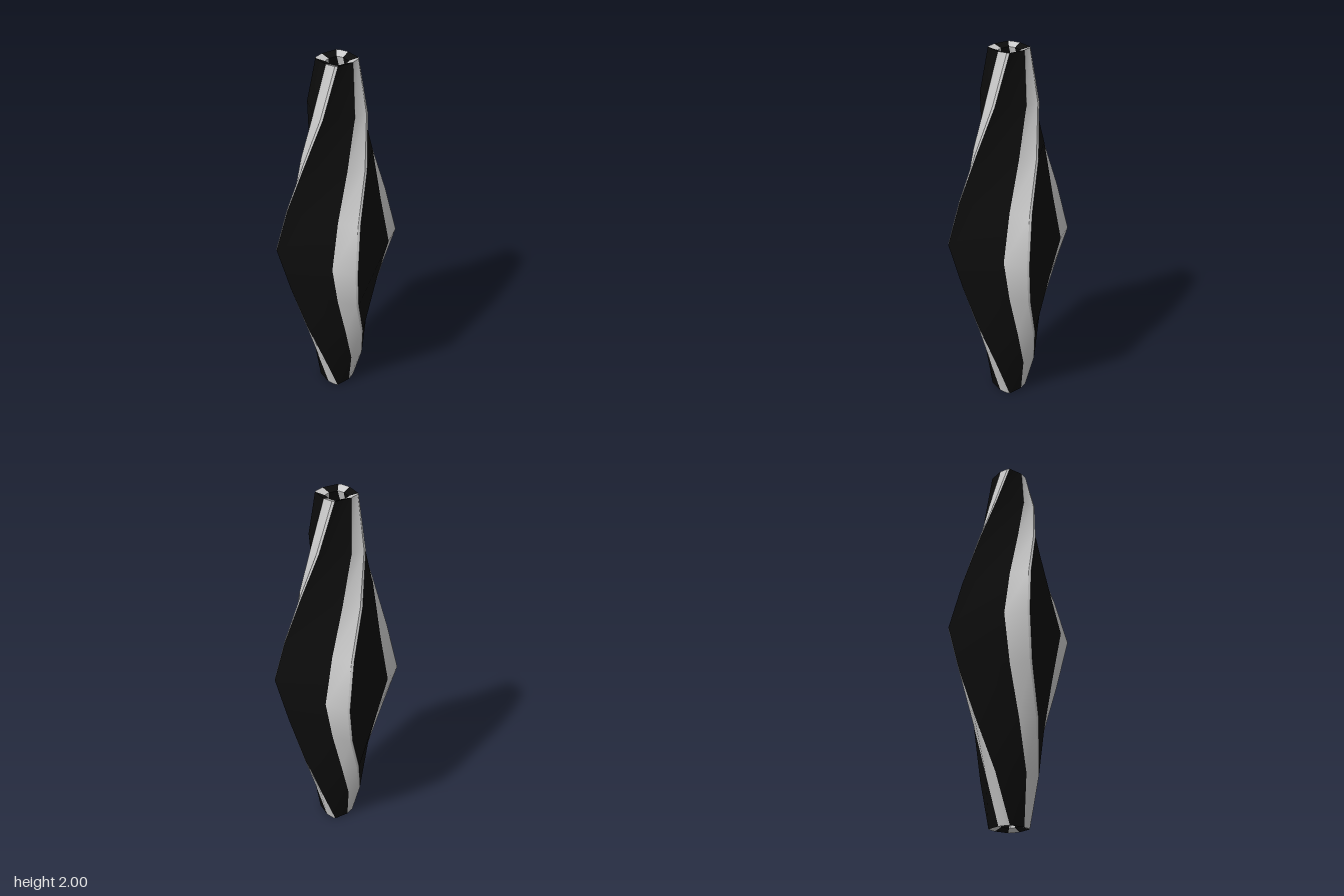
import * as THREE from 'three';

const grey = new THREE.MeshStandardMaterial({ color: 0xcccccc });
const black = new THREE.MeshStandardMaterial({ color: 0x0c0c0c });

// Cross-section corners [x, z] of one quarter, from the middle (y = 1) to the tip (y = 2)
const heights = [0, 0.25, 0.51, 0.76, 1];
const ridge = [[-0.263, -0.2], [-0.234, -0.141], [-0.208, -0.052], [-0.157, 0.025], [-0.083, 0.057]];
const valley = [[-0.136, -0.233], [-0.13, -0.177], [-0.139, -0.114], [-0.13, -0.043], [-0.086, 0]];

// Full-length column of points, mirrored about the middle, bottom to top
function column(half) {
  const up = half.map(([x, z], i) => new THREE.Vector3(x, 1 + heights[i], z));
  const down = up.slice(1).reverse().map((p) => new THREE.Vector3(p.x, 2 - p.y, p.z));
  return [...down, ...up];
}

const quarterTurn = (col) => col.map((p) => new THREE.Vector3(-p.z, p.y, p.x));

// Move each point of a column a short way towards another column
const towards = (col, other, d) =>
  col.map((p, i) => p.clone().add(other[i].clone().sub(p).setLength(d)));

// Inner face of the shell, slightly recessed at the two open ends
function inset(col) {
  return col.map((p) => {
    const r = Math.hypot(p.x, p.z);
    const s = (r - 0.46 * Math.min(r, 0.1)) / r;
    return new THREE.Vector3(p.x * s, THREE.MathUtils.clamp(p.y, 0.015, 1.985), p.z * s);
  });
}

// Smooth ribbon between two columns
function ribbon(a, b) {
  const positions = [];
  const index = [];
  a.forEach((p, i) => {
    positions.push(...p.toArray(), ...b[i].toArray());
    if (i < a.length - 1) {
      const k = i * 2;
      index.push(k, k + 2, k + 1, k + 1, k + 2, k + 3);
    }
  });
  const geometry = new THREE.BufferGeometry();
  geometry.setAttribute('position', new THREE.Float32BufferAttribute(positions, 3));
  geometry.setIndex(index);
  geometry.computeVertexNormals();
  return geometry;
}

// Thick strip: outer face, inner face and the rims at both ends
function strip(name, a, b, material) {
  const group = new THREE.Group();
  group.name = name;
  const ia = inset(a);
  const ib = inset(b);
  const n = a.length - 1;
  const add = (part, colA, colB) => {
    const mesh = new THREE.Mesh(ribbon(colA, colB), material);
    mesh.name = part;
    group.add(mesh);
  };
  add('outerFace', a, b);
  add('innerFace', [...ia].reverse(), [...ib].reverse());
  add('topRim', [a[n], ia[n]], [b[n], ib[n]]);
  add('bottomRim', [ia[0], a[0]], [ib[0], b[0]]);
  return group;
}

export function createModel() {
  const model = new THREE.Group();
  model.name = 'twistedSpindle';

  const corner = column(ridge);
  const inner = column(valley);
  const nextCorner = quarterTurn(corner);
  const previousInner = inner.map((p) => new THREE.Vector3(p.z, p.y, -p.x));

  // Narrow bevel along the sharp ridge
  const bevelStart = towards(corner, previousInner, 0.006);
  const bevelEnd = towards(corner, inner, 0.01);
  const nextBevel = quarterTurn(bevelStart);

  for (let i = 0; i < 4; i++) {
    const quarter = new THREE.Group();
    quarter.name = 'twistedSide' + (i + 1);
    quarter.add(
      strip('ridgeBevel', bevelStart, bevelEnd, grey),
      strip('greyBand', bevelEnd, inner, grey),
      strip('blackPanel', inner, nextBevel, black),
    );
    quarter.rotation.y = (-i * Math.PI) / 2;
    model.add(quarter);
  }
  return model;
}
